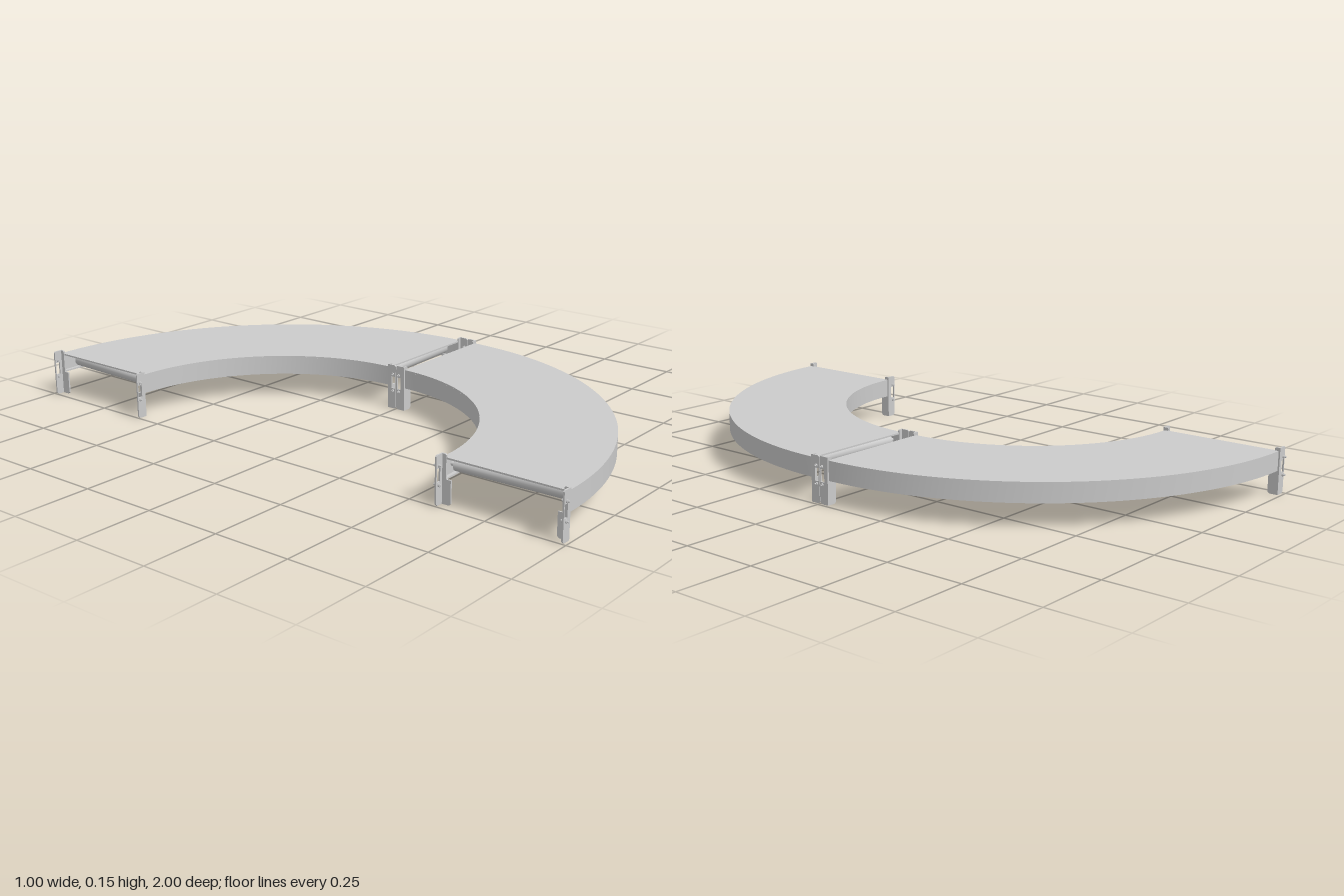
import * as THREE from 'three';
import { toCreasedNormals } from 'three/addons/utils/BufferGeometryUtils.js';

const R_IN = 0.56, R_OUT = 0.955;      // curve radii
const Y_LOW = 0.075, Y_RAIL = 0.132, Y_TOP = 0.137;
const T = 0.005;                       // sheet thickness
const ROLLERS = 12;

const mat = new THREE.MeshStandardMaterial({ color: 0xcccccc, side: THREE.DoubleSide });

function mesh(name, geometry) {
  const m = new THREE.Mesh(geometry, mat);
  m.name = name;
  return m;
}

// Quarter-ring cover lying flat over the rollers
function makeCover() {
  const s = new THREE.Shape();
  s.absarc(0, 0, R_OUT, 0, Math.PI / 2, false);
  s.absarc(0, 0, R_IN, Math.PI / 2, 0, true);
  const g = new THREE.ExtrudeGeometry(s, { depth: Y_TOP - Y_RAIL, bevelEnabled: false, curveSegments: 48 });
  g.rotateX(Math.PI / 2).translate(0, Y_TOP, 0);
  return mesh('cover', toCreasedNormals(g, 0.5));
}

// C-channel swept round the bend; dir points from the web towards the rollers
function makeRail(name, r, dir) {
  const lip = 0.016;
  const profile = [
    [0, Y_LOW], [lip, Y_LOW], [lip, Y_LOW + T], [T, Y_LOW + T],
    [T, Y_RAIL - T], [lip, Y_RAIL - T], [lip, Y_RAIL], [0, Y_RAIL], [0, Y_LOW],
  ].map(([d, y]) => new THREE.Vector2(r + dir * d, y));
  if (dir < 0) profile.reverse();
  return mesh(name, toCreasedNormals(new THREE.LatheGeometry(profile, 48, 0, Math.PI / 2), 0.5));
}

// Tapered roller on a thin axle, laid along a radius
function makeRoller(angle) {
  const g = new THREE.Group();
  g.name = 'roller';
  const mid = (R_IN + R_OUT) / 2, len = R_OUT - R_IN;
  const body = mesh('rollerBody', new THREE.CylinderGeometry(0.018, 0.023, len - 0.04, 20));
  const axle = mesh('rollerAxle', new THREE.CylinderGeometry(0.006, 0.006, len - 0.008, 10));
  for (const m of [body, axle]) {
    m.rotation.z = Math.PI / 2;        // wide end faces the outer rail
    m.position.set(mid, 0.107, 0);
    g.add(m);
  }
  g.rotation.y = -angle;
  return g;
}

// Angle-iron leg: slotted plate past the rail end, flange turned to -z under the rail
function makeLeg(name) {
  const g = new THREE.Group();
  g.name = name;
  const h = 0.147;

  const plate = new THREE.Shape();
  plate.moveTo(0.003, 0).lineTo(-0.023, 0).lineTo(-0.029, 0.006).lineTo(-0.029, h - 0.004);
  plate.lineTo(-0.025, h).lineTo(0.003, h).closePath();
  const slot = new THREE.Path();
  slot.moveTo(-0.026, 0.068).lineTo(-0.026, 0.108).lineTo(-0.011, 0.108).lineTo(-0.011, 0.068).closePath();
  plate.holes.push(slot);
  const pg = new THREE.ExtrudeGeometry(plate, { depth: T, bevelEnabled: false });
  g.add(mesh('legPlate', pg));

  const flange = new THREE.Shape();
  flange.moveTo(0, 0).lineTo(0.028, 0).lineTo(0.034, 0.006).lineTo(0.034, Y_LOW - 0.001);
  flange.lineTo(0.018, Y_LOW - 0.001).lineTo(0.018, h - 0.003).lineTo(0.015, h).lineTo(0, h).closePath();
  const fg = new THREE.ExtrudeGeometry(flange, { depth: T, bevelEnabled: false });
  fg.rotateY(Math.PI / 2).translate(-0.002, 0, T);
  g.add(mesh('legFlange', fg));

  // Bolts above and below the slot
  for (const y of [0.06, 0.116]) {
    const shank = mesh('boltShank', new THREE.CylinderGeometry(0.003, 0.003, 0.024, 10));
    const head = mesh('boltHead', new THREE.CylinderGeometry(0.0055, 0.0055, 0.005, 6));
    const nut = mesh('boltNut', new THREE.CylinderGeometry(0.0055, 0.0055, 0.005, 6));
    [[shank, 0.003], [head, T + 0.003], [nut, -0.003]].forEach(([m, z]) => {
      m.rotation.x = Math.PI / 2;
      m.position.set(-0.0185, y, z);
      g.add(m);
    });
  }
  return g;
}

// One 90 degree bend, centred on its own origin
function makeSection(name) {
  const g = new THREE.Group();
  g.name = name;
  g.add(makeCover(), makeRail('outerRail', R_OUT, -1), makeRail('innerRail', R_IN, 1));
  for (let i = 0; i < ROLLERS; i++) g.add(makeRoller(((i + 0.5) / ROLLERS) * Math.PI / 2));

  for (const [r, side, label] of [[R_OUT, 1, 'outer'], [R_IN, -1, 'inner']]) {
    const end = makeLeg(label + 'EndLeg');
    end.position.set(0, 0, r);
    end.scale.z = side;
    const joint = makeLeg(label + 'JointLeg');
    joint.position.set(r, 0, 0);
    joint.rotation.y = Math.PI / 2;
    joint.scale.set(-1, 1, side);
    g.add(end, joint);
  }
  return g;
}

export function createModel() {
  const model = new THREE.Group();
  model.name = 'curvedRollerConveyor';
  for (const side of [1, -1]) {
    const s = makeSection(side > 0 ? 'frontSection' : 'backSection');
    s.position.set(-0.47, 0, side * 0.03);
    s.scale.z = side;
    model.add(s);
  }
  return model;
}
